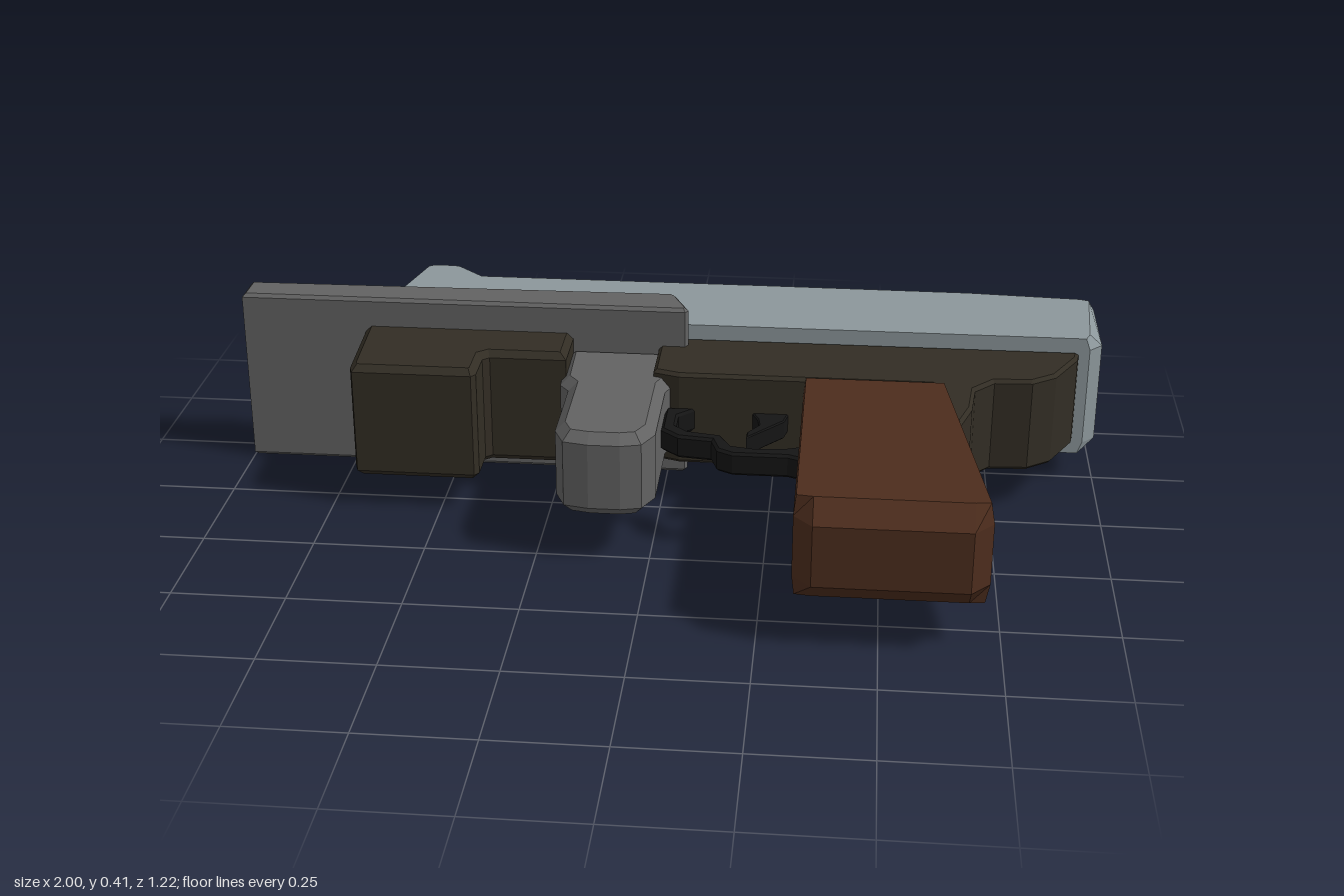
import * as THREE from 'three';

// Shrink an outline [x, z] by d along its mitred corner directions (counter-clockwise seen from above)
function inset(points, d) {
  const n = points.length;
  const edgeNormal = (a, b) => {
    const dx = b[0] - a[0], dz = b[1] - a[1], l = Math.hypot(dx, dz);
    return [dz / l, -dx / l];
  };
  return points.map((p, i) => {
    const n1 = edgeNormal(points[(i + n - 1) % n], p);
    const n2 = edgeNormal(p, points[(i + 1) % n]);
    const k = d / Math.max(0.5, 1 + n1[0] * n2[0] + n1[1] * n2[1]);
    return [p[0] + (n1[0] + n2[0]) * k, p[1] + (n1[1] + n2[1]) * k];
  });
}

// Slab lying flat: outline in x/z, from y0 to y1, chamfered to the inner outline at both faces
function slab(name, color, outline, y0, y1, chamfer, inner) {
  const flat = (pts) => pts.map(([x, z]) => new THREE.Vector2(x, -z));
  let outer = outline.slice();
  let cap = inner ? inner.slice() : null;
  if (THREE.ShapeUtils.isClockWise(flat(outer))) {
    outer.reverse();
    if (cap) cap.reverse();
  }
  cap = cap || inset(outer, chamfer);
  const rings = [[cap, y0], [outer, y0 + chamfer], [outer, y1 - chamfer], [cap, y1]];
  const n = outer.length;
  const positions = [];
  const index = [];
  for (const [ring, y] of rings) for (const [x, z] of ring) positions.push(x, y, z);
  for (let r = 0; r < 3; r++) {
    for (let i = 0; i < n; i++) {
      const a = r * n + i, b = r * n + (i + 1) % n;
      index.push(a, b, b + n, a, b + n, a + n);
    }
  }
  for (const [a, b, c] of THREE.ShapeUtils.triangulateShape(flat(cap), [])) {
    index.push(3 * n + a, 3 * n + b, 3 * n + c, a, c, b);
  }
  const indexed = new THREE.BufferGeometry();
  indexed.setAttribute('position', new THREE.Float32BufferAttribute(positions, 3));
  indexed.setIndex(index);
  const geometry = indexed.toNonIndexed();
  geometry.computeVertexNormals();
  const mesh = new THREE.Mesh(geometry, new THREE.MeshStandardMaterial({ color, flatShading: true }));
  mesh.name = name;
  return mesh;
}

export function createModel() {
  const group = new THREE.Group();
  group.name = 'model';
  const steel = 0x8c979b, grey = 0x626262, dark = 0x322d24, wood = 0x4d2d1d, black = 0x151515;

  // Upper slide: chamfered along its top, front hump and rear end
  group.add(slab('slide', steel,
    [[-0.71, -0.245], [-0.64, -0.595], [-0.625, -0.61], [-0.57, -0.61], [-0.55, -0.6], [-0.48, -0.535],
      [0.2, -0.535], [0.75, -0.53], [0.97, -0.515], [1, -0.49], [1, -0.275], [0.97, -0.243]],
    0.065, 0.355, 0.028,
    [[-0.705, -0.245], [-0.632, -0.57], [-0.62, -0.58], [-0.57, -0.58], [-0.555, -0.575], [-0.49, -0.513],
      [0.2, -0.513], [0.7, -0.51], [0.965, -0.493], [0.985, -0.485], [0.97, -0.27], [0.96, -0.243]]));

  // Wide plate between slide and frame
  group.add(slab('plate', grey,
    [[-1, -0.275], [0, -0.29], [0.012, -0.28], [0.047, -0.2], [0.04, -0.188], [-1, -0.188]],
    0, 0.415, 0.008));

  // Frame with rear tang and backstrap
  group.add(slab('frame', dark,
    [[-0.02, -0.243], [0.945, -0.243], [0.94, -0.21], [0.885, -0.105], [0.83, -0.065], [0.745, -0.06],
      [0.7, -0.01], [0.69, 0.09], [0.66, 0.185], [0.6, 0.185], [0.6, -0.03], [0.04, -0.03], [-0.02, -0.05]],
    0.1, 0.322, 0.008));

  // Stepped block under the muzzle
  group.add(slab('frontBlock', dark,
    [[-0.71, -0.2], [-0.698, 0.03], [-0.69, 0.053], [-0.42, 0.053], [-0.41, 0.04], [-0.41, -0.045],
      [-0.395, -0.058], [-0.22, -0.058], [-0.22, -0.2]],
    0.073, 0.347, 0.015));

  // Forward hand grip
  group.add(slab('foregrip', grey,
    [[-0.235, -0.2], [-0.23, -0.03], [-0.208, 0], [-0.208, 0.215], [-0.185, 0.268], [-0.13, 0.28], [-0.06, 0.28],
      [-0.015, 0.268], [0.01, 0.215], [0.01, -0.01], [0.02, -0.04], [0.02, -0.2]],
    0.11, 0.305, 0.022));

  // Rear grip, chamfered around its end
  group.add(slab('grip', wood,
    [[0.32, -0.03], [0.64, -0.03], [0.72, 0.56], [0.68, 0.605], [0.36, 0.605], [0.32, 0.56]],
    0.098, 0.324, 0.045,
    [[0.325, -0.03], [0.632, -0.03], [0.712, 0.555], [0.68, 0.56], [0.36, 0.56], [0.325, 0.555]]));

  // Trigger guard loop
  group.add(slab('triggerGuard', black,
    [[0.01, -0.035], [0.01, 0.08], [0.05, 0.117], [0.125, 0.127], [0.14, 0.175], [0.175, 0.195], [0.295, 0.195],
      [0.33, 0.21], [0.33, 0.14], [0.29, 0.155], [0.225, 0.163], [0.172, 0.152], [0.145, 0.1], [0.07, 0.085],
      [0.042, 0.058], [0.042, 0.005], [0.08, -0.035]],
    0.183, 0.237, 0.006));

  // Trigger
  group.add(slab('trigger', black,
    [[0.205, -0.035], [0.288, -0.035], [0.28, 0.005], [0.247, 0.045], [0.2, 0.1], [0.2, 0.07], [0.224, 0.03],
      [0.22, 0]],
    0.188, 0.232, 0.003));

  return group;
}
